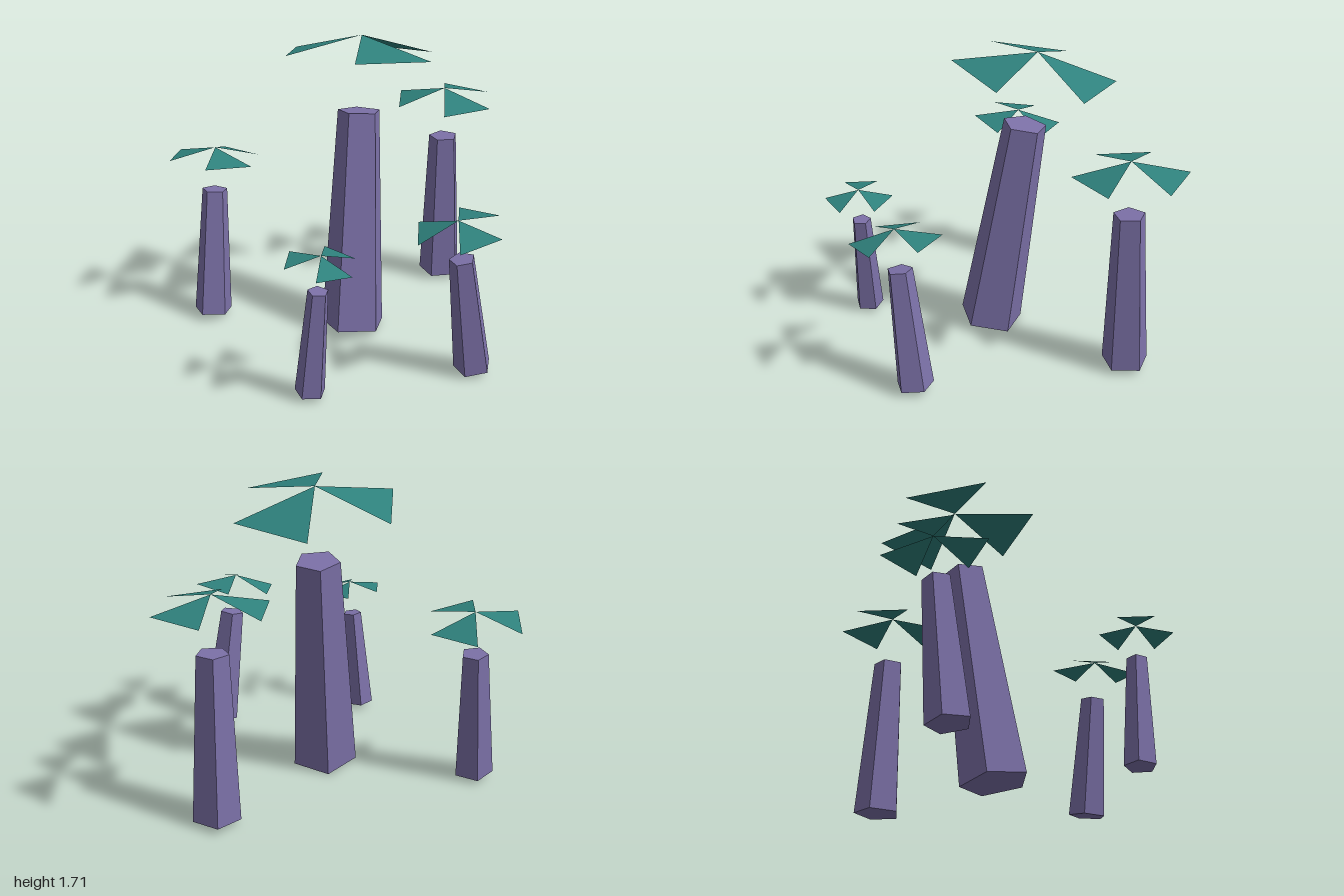
import * as THREE from 'three';

const bark = new THREE.MeshStandardMaterial({ color: 0x7c71a8, flatShading: true });
bark.name = 'purple bark';
const foliage = new THREE.MeshStandardMaterial({ color: 0x2f827d, flatShading: true, side: THREE.DoubleSide });
foliage.name = 'teal foliage';

// Three leaves: alternate faces of a shallow six-sided cone with its tip at the origin
function leafGeometry(radius) {
  const drop = radius * 0.235;
  const points = [];
  const rim = (i) => {
    const a = (i * Math.PI) / 3;
    return [Math.cos(a) * radius, -drop, -Math.sin(a) * radius];
  };
  for (let i = 0; i < 6; i += 2) points.push(0, 0, 0, ...rim(i), ...rim(i + 1));
  const geometry = new THREE.BufferGeometry();
  geometry.setAttribute('position', new THREE.Float32BufferAttribute(points, 3));
  geometry.computeVertexNormals();
  return geometry;
}

// A leaning tree whose axis runs from the trunk's base to the tip of the crown
function makeTree({ base, tip, trunk, crown }) {
  const tree = new THREE.Group();
  const start = new THREE.Vector3(...base);
  const axis = new THREE.Vector3(...tip).sub(start);
  const height = axis.length();
  const trunkHeight = height * 0.75;

  const trunkGeometry = new THREE.CylinderGeometry(trunk * 0.66, trunk, trunkHeight, 5);
  trunkGeometry.rotateY(Math.PI / 2);
  trunkGeometry.translate(0, trunkHeight / 2, 0);
  const trunkMesh = new THREE.Mesh(trunkGeometry, bark);
  trunkMesh.name = 'trunk';

  const leaves = new THREE.Mesh(leafGeometry(crown), foliage);
  leaves.name = 'leaves';
  leaves.position.y = height;

  tree.add(trunkMesh, leaves);
  tree.position.copy(start);
  tree.quaternion.setFromUnitVectors(new THREE.Vector3(0, 1, 0), axis.normalize());
  return tree;
}

export function createModel() {
  const model = new THREE.Group();
  model.name = 'treeGrove';
  const trees = {
    tallTree: { base: [-0.12, 0.025, -0.07], tip: [0.04, 1.71, -0.267], trunk: 0.19, crown: 0.455 },
    leftTree: { base: [0.692, 0.03, -0.458], tip: [0.675, 1.27, -0.427], trunk: 0.134, crown: 0.313 },
    backRightTree: { base: [-0.817, 0.03, -0.59], tip: [-0.721, 1.04, -0.658], trunk: 0.114, crown: 0.272 },
    frontRightTree: { base: [-0.641, 0.027, 0.493], tip: [-0.585, 0.842, 0.549], trunk: 0.085, crown: 0.197 },
    frontTree: { base: [0.26, 0.03, 0.665], tip: [0.128, 0.945, 0.683], trunk: 0.107, crown: 0.247 },
  };
  for (const [name, spec] of Object.entries(trees)) {
    const tree = makeTree(spec);
    tree.name = name;
    model.add(tree);
  }
  return model;
}
